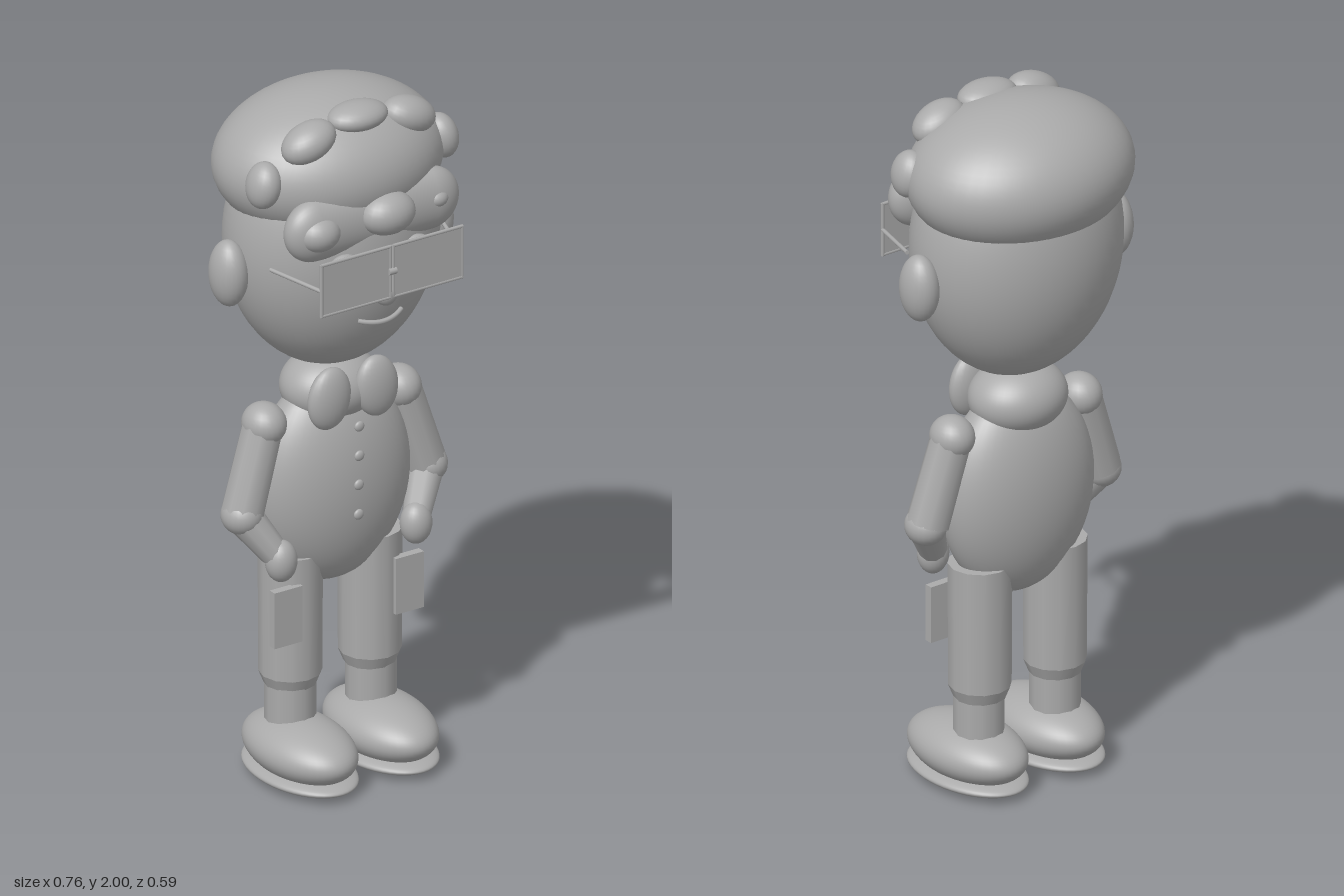
import * as THREE from 'three';

export function createModel() {
  const root = new THREE.Group();
  root.name = 'figure';
  const grey = new THREE.MeshStandardMaterial({ color: 0xaaaaaa });
  grey.name = 'plain grey';
  const flatGrey = grey;

  const add = (name, geo, pos = [0, 0, 0]) => {
    const m = new THREE.Mesh(geo, flatGrey);
    m.name = name;
    m.position.set(...pos);
    root.add(m);
    return m;
  };
  const ball = (name, pos, r, tilt = 0) => {
    const small = Math.max(...r) < 0.1;
    const m = add(name, new THREE.SphereGeometry(1, small ? 24 : 48, small ? 16 : 32), pos);
    m.scale.set(...r);
    m.rotation.z = tilt;
    return m;
  };
  // tapered rod between two points
  const rod = (name, a, b, ra, rb = ra, sides = 12) => {
    const A = new THREE.Vector3(...a), B = new THREE.Vector3(...b);
    const m = add(name, new THREE.CylinderGeometry(rb, ra, A.distanceTo(B), sides));
    m.position.copy(A).add(B).multiplyScalar(0.5);
    m.quaternion.setFromUnitVectors(new THREE.Vector3(0, 1, 0), B.sub(A).normalize());
    return m;
  };

  // head and hair
  ball('head', [0, 1.58, -0.012], [0.31, 0.385, 0.252]);
  ball('hairCap', [0, 1.795, -0.028], [0.332, 0.203, 0.268]);
  const band = new THREE.CapsuleGeometry(0.09, 0.37, 12, 32);
  band.rotateZ(Math.PI / 2).scale(1, 1, 0.62);
  add('fringe', band, [0, 1.695, 0.182]);
  ball('fringeCurlMiddle', [0.02, 1.712, 0.23], [0.082, 0.06, 0.062]);
  ball('fringeCurlRight', [-0.185, 1.695, 0.2], [0.065, 0.053, 0.06]);
  ball('fringeCurlLeft', [0.188, 1.707, 0.205], [0.038, 0.03, 0.04]);
  ball('topCurl', [0, 1.96, 0.115], [0.09, 0.04, 0.063]);

  // face centre
  ball('nose', [0, 1.495, 0.252], [0.035, 0.042, 0.034]);
  const smile = new THREE.QuadraticBezierCurve3(
    new THREE.Vector3(-0.07, 1.411, 0.222),
    new THREE.Vector3(0, 1.39, 0.262),
    new THREE.Vector3(0.07, 1.411, 0.222));
  add('mouth', new THREE.TubeGeometry(smile, 20, 0.007, 8));

  // neck, torso and buttons
  ball('neck', [0, 1.12, -0.018], [0.142, 0.1, 0.125]);
  ball('torso', [0, 0.85, -0.015], [0.24, 0.305, 0.136]);
  for (const [y, z] of [[1.042, 0.125], [0.955, 0.125], [0.868, 0.123], [0.78, 0.122]])
    ball('button', [0, y, z], [0.015, 0.015, 0.008]);

  // glasses bridge
  rod('glassesBridge', [-0.012, 1.565, 0.283], [0.012, 1.565, 0.283], 0.01);

  for (const s of [-1, 1]) {
    // curls, ears and eyes
    ball('upperCurl', [s * 0.16, 1.925, 0.12], [0.083, 0.052, 0.06], -s * 0.35);
    ball('sideCurl', [s * 0.285, 1.818, 0.09], [0.046, 0.066, 0.055], s * 0.2);
    ball('ear', [s * 0.33, 1.53, -0.012], [0.051, 0.096, 0.062]);
    ball('eye', [s * 0.115, 1.56, 0.225], [0.06, 0.06, 0.032]);
    ball('pupil', [s * 0.13, 1.565, 0.258], [0.013, 0.018, 0.015]);

    // glasses
    add('lens', new THREE.BoxGeometry(0.216, 0.148, 0.006), [s * 0.115, 1.563, 0.281]);
    for (const y of [1.488, 1.638])
      rod('rim', [s * 0.004, y, 0.281], [s * 0.228, y, 0.281], 0.005, 0.005, 8);
    for (const x of [0.005, 0.226])
      rod('rim', [s * x, 1.486, 0.281], [s * x, 1.64, 0.281], 0.005, 0.005, 8);
    rod('glassesArm', [s * 0.226, 1.562, 0.28], [s * 0.276, 1.573, 0.11], 0.006, 0.006, 8);

    // collar
    ball('collar', [s * 0.076, 1.132, 0.093], [0.066, 0.09, 0.035], s * 0.12);

    // arm
    ball('shoulder', [s * 0.217, 1.055, -0.01], [0.06, 0.06, 0.066]);
    rod('upperArm', [s * 0.293, 0.815, 0], [s * 0.219, 1.055, -0.01], 0.06, 0.057, 10);
    ball('elbow', [s * 0.297, 0.81, 0.003], [0.057, 0.055, 0.06]);
    rod('forearm', [s * 0.297, 0.81, 0.003], [s * 0.228, 0.7, 0.06], 0.052, 0.04, 10);
    ball('hand', [s * 0.217, 0.68, 0.073], [0.045, 0.06, 0.042]);

    // leg and pocket
    rod('trouserLeg', [s * 0.128, 0.3, -0.017], [s * 0.128, 0.66, -0.017], 0.086, 0.088, 12);
    rod('trouserCuff', [s * 0.128, 0.265, -0.017], [s * 0.128, 0.3, -0.017], 0.072, 0.086, 12);
    rod('sock', [s * 0.13, 0.13, -0.014], [s * 0.13, 0.27, -0.014], 0.07, 0.07, 12);
    add('pocket', new THREE.BoxGeometry(0.09, 0.165, 0.024), [s * 0.195, 0.507, 0.064]);

    // shoe
    ball('shoe', [s * 0.13, 0.095, 0.033], [0.128, 0.083, 0.208]);
    ball('sole', [s * 0.13, 0.03, 0.033], [0.13, 0.03, 0.208]);
  }
  return root;
}
